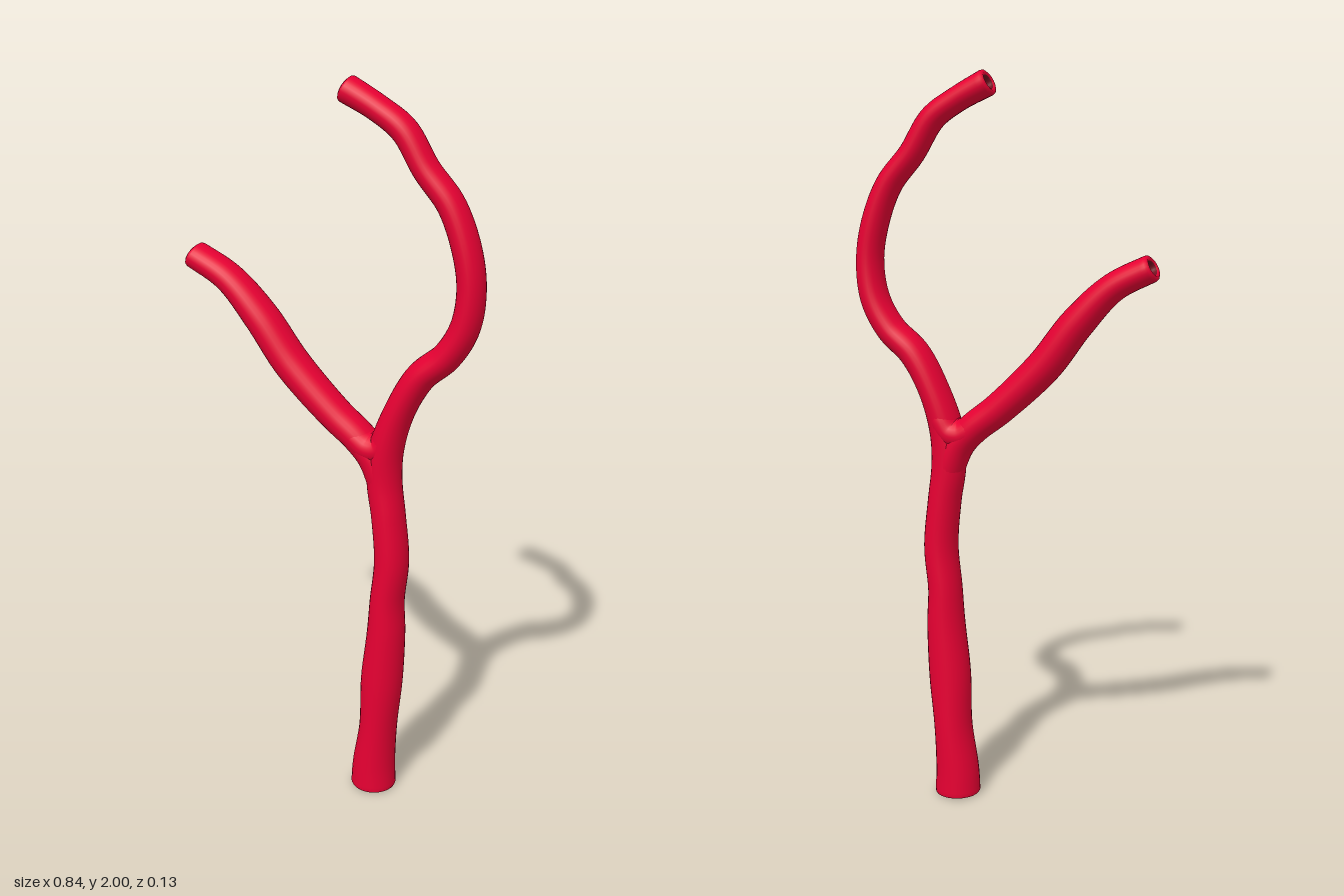
import * as THREE from 'three';

const SIDES = 28;
const WALL = 0.018;

// Hollow tube along a path of [x, y, radius in plane, radius in depth, z].
// Rings run up the outside, over the rounded tip, down the inside and close at the start.
function vessel(name, rows, steps, materials) {
  const path = new THREE.CatmullRomCurve3(rows.map(r => new THREE.Vector3(r[0], r[1], r[4] ?? 0)));
  const size = new THREE.CatmullRomCurve3(
    rows.map(r => new THREE.Vector3(r[2], r[3], 0)), false, 'catmullrom');
  const edge = 0.1 / rows.length;
  const along = i => edge + (1 - 2 * edge) * i / steps;
  const rings = [[0, WALL / 2], [edge * 0.4, 0.002]];
  for (let i = 0; i <= steps; i++) rings.push([along(i), 0]);
  rings.push([1 - edge * 0.4, 0.002], [1, WALL / 2]);
  const liningStart = rings.length;
  rings.push([1 - edge * 0.4, WALL - 0.002]);
  for (let i = steps; i >= 0; i--) rings.push([along(i), WALL]);
  rings.push([edge * 0.4, WALL - 0.002]);

  const position = [], index = [];
  for (const [t, inset] of rings) {
    const p = path.getPoint(t), s = size.getPoint(t), d = path.getTangent(t);
    const len = Math.hypot(d.x, d.y);
    for (let j = 0; j < SIDES; j++) {
      const a = j / SIDES * Math.PI * 2;
      const u = Math.cos(a) * (s.x - inset), w = Math.sin(a) * (s.y - inset);
      position.push(p.x - d.y / len * u, p.y + d.x / len * u, p.z + w);
    }
  }
  for (let i = 0; i < rings.length; i++) {
    const k = (i + 1) % rings.length;
    for (let j = 0; j < SIDES; j++) {
      const m = (j + 1) % SIDES;
      const a = i * SIDES + j, b = i * SIDES + m, c = k * SIDES + j, d = k * SIDES + m;
      index.push(a, b, c, b, d, c);
    }
  }
  const geometry = new THREE.BufferGeometry();
  geometry.setAttribute('position', new THREE.Float32BufferAttribute(position, 3));
  geometry.setIndex(index);
  geometry.computeVertexNormals();

  // The upper half of the bore is dark, the rest is wall colour
  const perRing = SIDES * 6;
  const from = liningStart * perRing, to = from + Math.floor(steps / 2) * perRing;
  geometry.addGroup(0, from, 0);
  geometry.addGroup(from, to - from, 1);
  geometry.addGroup(to, index.length - to, 0);
  const mesh = new THREE.Mesh(geometry, materials);
  mesh.name = name;
  return mesh;
}

export function createModel() {
  const group = new THREE.Group();
  group.name = 'branchingVessel';
  const red = new THREE.MeshStandardMaterial({ color: 0xe60032 });
  red.name = 'vesselRed';
  const dark = new THREE.MeshStandardMaterial({ color: 0x70101f });
  dark.name = 'boreDarkRed';
  const materials = [red, dark];

  // Trunk running on into the long curling branch
  group.add(vessel('trunkAndCurledBranch', [
    [0.138, 0.00, 0.064, 0.065],
    [0.139, 0.07, 0.060, 0.064],
    [0.151, 0.20, 0.052, 0.063],
    [0.161, 0.35, 0.058, 0.062, 0.003],
    [0.172, 0.50, 0.052, 0.060, 0.004],
    [0.174, 0.60, 0.046, 0.058, 0.004],
    [0.185, 0.72, 0.046, 0.056, 0.004],
    [0.173, 0.85, 0.045, 0.054, 0.002],
    [0.159, 0.95, 0.047, 0.052],
    [0.163, 1.04, 0.046, 0.053],
    [0.199, 1.155, 0.040, 0.053, -0.002],
    [0.255, 1.255, 0.040, 0.053, -0.003],
    [0.325, 1.320, 0.039, 0.052, -0.003],
    [0.370, 1.400, 0.038, 0.050, -0.003],
    [0.384, 1.500, 0.036, 0.047, -0.002],
    [0.368, 1.600, 0.036, 0.046, -0.002],
    [0.325, 1.705, 0.035, 0.044, -0.002],
    [0.257, 1.787, 0.034, 0.043, -0.002],
    [0.197, 1.877, 0.034, 0.042, -0.003],
    [0.125, 1.926, 0.033, 0.041, -0.003],
    [0.037, 1.970, 0.036, 0.042, -0.003],
  ], 130, materials));

  // Straighter side branch, rising out of the trunk
  group.add(vessel('sideBranch', [
    [0.172, 0.860, 0.034, 0.042],
    [0.156, 0.945, 0.042, 0.050, -0.001],
    [0.127, 1.015, 0.044, 0.052, -0.002],
    [0.082, 1.062, 0.043, 0.052, -0.003],
    [0.010, 1.119, 0.044, 0.053, -0.003],
    [-0.115, 1.239, 0.047, 0.056, -0.004],
    [-0.205, 1.356, 0.045, 0.055, -0.004],
    [-0.300, 1.452, 0.038, 0.049, -0.004],
    [-0.407, 1.508, 0.036, 0.047, -0.004],
  ], 70, materials));

  // Smooth web filling the crotch between the branches
  group.add(vessel('forkWeb', [
    [0.010, 1.120, 0.024, 0.034],
    [0.070, 1.073, 0.036, 0.050, -0.002],
    [0.115, 1.043, 0.043, 0.054, -0.002],
    [0.150, 1.047, 0.043, 0.054, -0.002],
    [0.178, 1.093, 0.037, 0.051, -0.002],
    [0.210, 1.175, 0.024, 0.034],
  ], 40, materials));

  return group;
}
